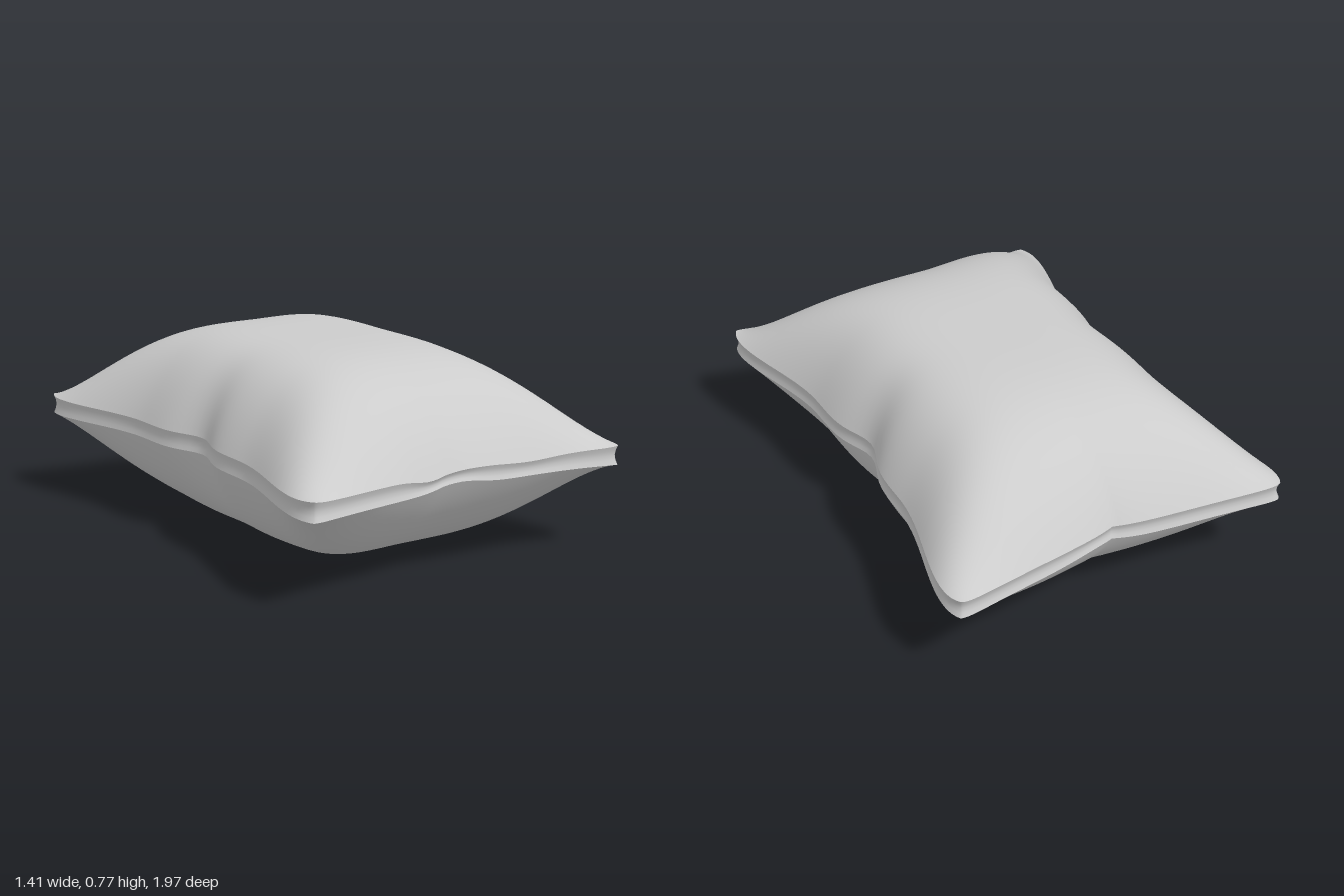
import * as THREE from 'three';

const N = 64;
const bell = (t, c, w) => Math.exp(-(((t - c) / w) ** 2));

// Plan position of a cloth point; u and v run from -1 to 1 across and along
function plan(u, v) {
  const au = Math.abs(u), av = Math.abs(v);
  const halfWidth = 0.6 + 0.11 * THREE.MathUtils.smoothstep(av, 0.35, 0.95)
    - 0.06 * bell(v, 0, 0.13) * au ** 3;
  const front = v > 0;
  const power = front && u > 0 ? 2.6 : 1.5;
  const pinch = Math.exp(-Math.abs(u - (front ? -0.1 : 0)) / 0.15);
  const halfLength = 0.915 + (u < 0 ? 0.077 : 0.087) * au ** power
    - (front ? 0.018 : 0.035) * pinch * av ** 3;
  const round = 1 - 0.04 * (au * av) ** 16; // soft corners
  return [u * halfWidth * round, v * halfLength * (1 - (1 - round) * 0.6)];
}

// Height of the seam line above (side 1) or below (side -1) the edge band
function seam(u, v, side) {
  const f = Math.max(v, 0) ** 8;
  const b = Math.max(-v, 0) ** 8;
  if (side > 0) {
    return 0.42 - f * (0.02 * bell(u, -0.2, 0.14) + 0.012 * bell(u, 0.42, 0.2))
      + 0.005 * (u * v) ** 8;
  }
  return 0.355 + f * 0.02 * bell(u, 0, 0.17) + b * 0.012 * bell(u, 0.1, 0.2)
    - 0.005 * (u * v) ** 8;
}

// Puffed panel: a grid bulging up or down from its seam
function panel(side) {
  const geo = new THREE.PlaneGeometry(2, 2, N, N).rotateX(-side * Math.PI / 2);
  const p = geo.attributes.position;
  for (let i = 0; i < p.count; i++) {
    const u = Math.sin(p.getX(i) * Math.PI / 2) * 0.4 + p.getX(i) * 0.6;
    const v = Math.sin(p.getZ(i) * Math.PI / 2) * 0.4 + p.getZ(i) * 0.6;
    const puff = (1 - Math.abs(u) ** 3.9) * (1 - Math.abs(v) ** 3.9);
    const [x, z] = plan(u, v);
    p.setXYZ(i, x, seam(u, v, side) + side * 0.353 * puff, z);
  }
  geo.computeVertexNormals();
  return geo;
}

// Edge band: a closed strip round the outline, slightly hollow at mid height
function band() {
  const corners = [[-1, 1], [1, 1], [1, -1], [-1, -1]];
  const loop = [];
  corners.forEach(([u0, v0], k) => {
    const [u1, v1] = corners[(k + 1) % 4];
    for (let i = 0; i < N; i++) {
      const s = i / N * 2 - 1;
      const t = (Math.sin(s * Math.PI / 2) * 0.4 + s * 0.6 + 1) / 2;
      loop.push([u0 + (u1 - u0) * t, v0 + (v1 - v0) * t]);
    }
  });
  const pos = [], idx = [], n = loop.length, rows = 4;
  for (let j = 0; j <= rows; j++) {
    const h = j / rows;
    const inset = 1 - 0.01 * Math.sin(h * Math.PI);
    loop.forEach(([u, v]) => {
      const [x, z] = plan(u, v);
      pos.push(x * inset, THREE.MathUtils.lerp(seam(u, v, -1), seam(u, v, 1), h), z * inset);
    });
  }
  for (let j = 0; j < rows; j++) {
    for (let i = 0; i < n; i++) {
      const a = j * n + i, b = j * n + (i + 1) % n;
      idx.push(a, b, b + n, a, b + n, a + n);
    }
  }
  const geo = new THREE.BufferGeometry();
  geo.setAttribute('position', new THREE.Float32BufferAttribute(pos, 3));
  geo.setIndex(idx);
  geo.computeVertexNormals();
  return geo;
}

export function createModel() {
  const group = new THREE.Group();
  group.name = 'pillow';
  const cloth = new THREE.MeshStandardMaterial({ color: 0xcccccc });
  const add = (name, geo) => {
    const mesh = new THREE.Mesh(geo, cloth);
    mesh.name = name;
    group.add(mesh);
  };
  add('topPanel', panel(1));
  add('bottomPanel', panel(-1));
  add('edgeBand', band());
  return group;
}
